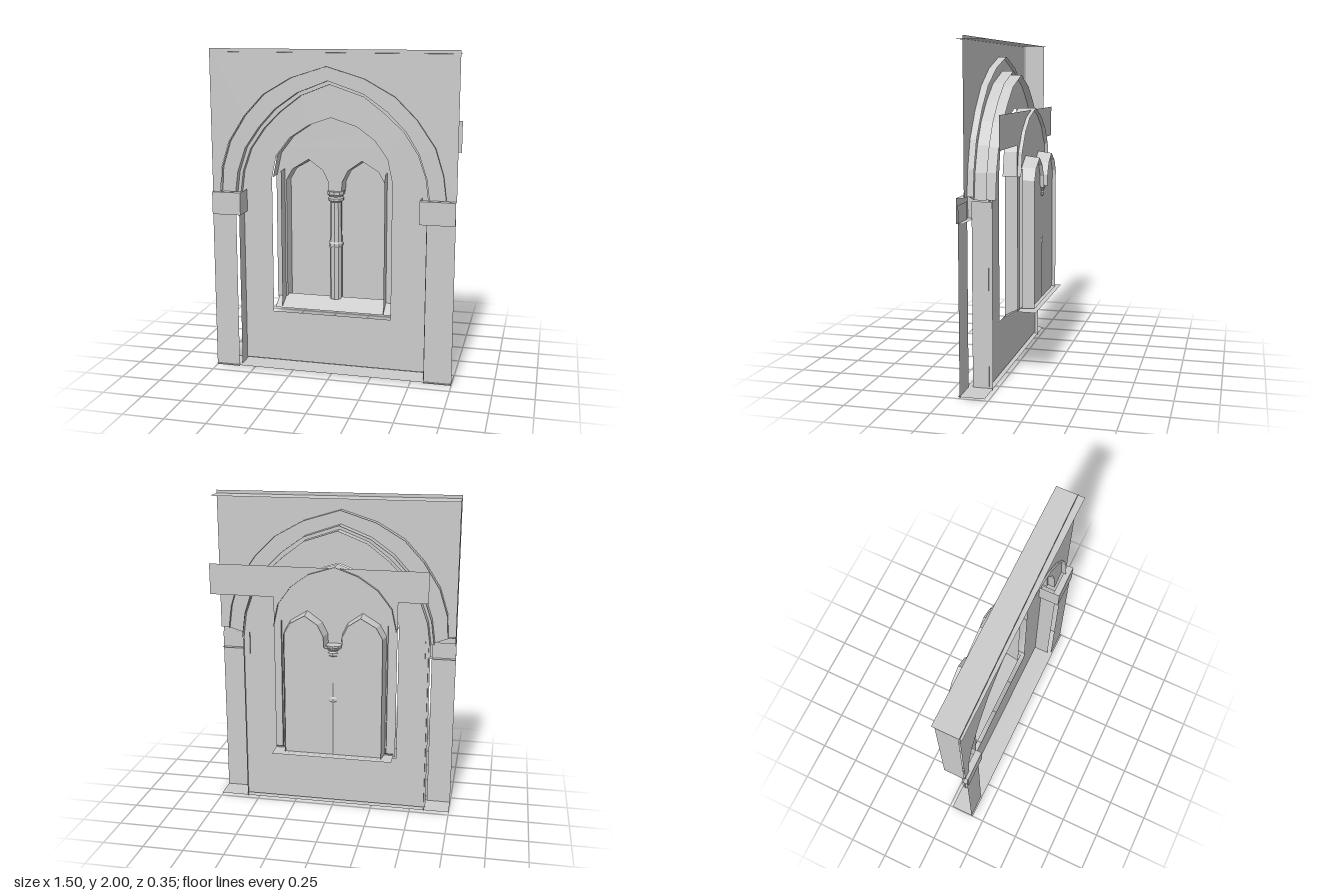
import * as THREE from 'three';

const material = new THREE.MeshStandardMaterial({ color: 0xcccccc, flatShading: true, side: THREE.DoubleSide });

export function createModel() {
  const root = new THREE.Group();

  function add(name, geometry) {
    const mesh = new THREE.Mesh(geometry, material);
    mesh.name = name;
    root.add(mesh);
    return mesh;
  }

  // Flat upright sheet from a 2D outline, with optional holes
  function sheet(name, outline, z, holes = []) {
    const toPoints = (list) => list.map(([x, y]) => new THREE.Vector2(x, y));
    const shape = new THREE.Shape(toPoints(outline));
    for (const hole of holes) shape.holes.push(new THREE.Path(toPoints(hole)));
    const mesh = add(name, new THREE.ShapeGeometry(shape));
    mesh.position.z = z;
    return mesh;
  }

  // Band joining outline a at depth za to outline b at depth zb
  function band(name, a, za, b, zb, closed = false) {
    const positions = [];
    const count = closed ? a.length : a.length - 1;
    for (let i = 0; i < count; i++) {
      const j = (i + 1) % a.length;
      const p = [...a[i], za], q = [...a[j], za], r = [...b[j], zb], s = [...b[i], zb];
      positions.push(...p, ...q, ...r, ...p, ...r, ...s);
    }
    const geometry = new THREE.BufferGeometry();
    geometry.setAttribute('position', new THREE.Float32BufferAttribute(positions, 3));
    geometry.computeVertexNormals();
    add(name, geometry);
  }

  const level = (name, x0, x1, y, z0, z1) => band(name, [[x0, y], [x1, y]], z0, [[x0, y], [x1, y]], z1);
  const side = (name, x, y0, y1, z0, z1) => band(name, [[x, y0], [x, y1]], z0, [[x, y0], [x, y1]], z1);
  const rect = (x0, x1, y0, y1) => [[x0, y0], [x1, y0], [x1, y1], [x0, y1]];

  // Pointed arches, listed from the -x springing over the apex to +x
  const outerArch = [[-0.7, 1.13], [-0.69, 1.28], [-0.64, 1.44], [-0.54, 1.6], [-0.42, 1.73], [-0.25, 1.83],
    [-0.03, 1.9], [0.2, 1.83], [0.38, 1.73], [0.51, 1.6], [0.62, 1.44], [0.67, 1.28], [0.69, 1.13]];
  const middleArch = [[-0.62, 1.1], [-0.6, 1.25], [-0.55, 1.4], [-0.46, 1.53], [-0.36, 1.64], [-0.22, 1.74],
    [-0.03, 1.815], [0.19, 1.74], [0.33, 1.64], [0.44, 1.53], [0.52, 1.4], [0.57, 1.25], [0.59, 1.1]];
  const innerArch = [[-0.6, 1.1], [-0.58, 1.25], [-0.53, 1.39], [-0.44, 1.52], [-0.34, 1.62], [-0.21, 1.72],
    [-0.03, 1.79], [0.18, 1.72], [0.31, 1.62], [0.42, 1.52], [0.505, 1.39], [0.555, 1.25], [0.575, 1.1]];
  const windowArch = [[-0.405, 1.21], [-0.375, 1.35], [-0.29, 1.46], [-0.17, 1.54],
    [-0.03, 1.59], [0.13, 1.54], [0.24, 1.46], [0.32, 1.35], [0.35, 1.21]];

  // Upper wall face, very slightly turned, with the big arch cut out of its lower edge
  const upperWall = sheet('upperWall',
    [[-0.75, 1.13], ...outerArch, [0.75, 1.13], [0.75, 2], [-0.75, 2]], 0.1435);
  upperWall.rotation.y = 0.018;
  side('upperWallEnd', -0.75, 1.1, 1.98, 0.02, 0.15);
  level('topSheet', -0.75, 0.75, 1.98, 0, 0.17);
  level('bottomSheet', -0.75, 0.75, 0.01, 0.02, 0.175);

  // Stepped arch mouldings
  band('outerArchReveal', outerArch, 0.15, outerArch, 0.095);
  band('outerArchFace', outerArch, 0.12, middleArch, 0.12);
  band('middleArchReveal', middleArch, 0.12, middleArch, 0.05);
  band('middleArchFace', middleArch, 0.075, innerArch, 0.075);
  band('innerArchReveal', innerArch, 0.075, innerArch, 0);

  // Recessed wall with the window opening, its arched soffit, inset jambs and sill
  sheet('recessedWall', [[-0.6, 0.02], ...innerArch, [0.58, 0.02]], 0.042,
    [[[-0.405, 0.345], ...windowArch, [0.35, 0.345]]]);
  band('windowSoffit', windowArch, 0.02, windowArch, -0.09);
  for (const x of [-0.355, 0.3]) band('windowJamb', [[x, 0.37], [x, 1.25]], 0.02, [[x, 0.43], [x, 1.25]], -0.09);
  band('slopingSill', [[-0.4, 0.365], [0.345, 0.365]], 0.02, [[-0.4, 0.43], [0.345, 0.43]], -0.09);
  level('sillLedge', -0.4, 0.35, 0.41, -0.067, -0.178);

  // Pilasters and their capitals on both sides
  for (const [name, outer, inner, returnX, capInner] of [
    ['right', -0.75, -0.6, -0.59, -0.57], ['left', 0.75, 0.58, 0.575, 0.535]]) {
    sheet(name + 'PilasterFront', rect(outer, inner, 0, 1.09), 0.165);
    side(name + 'PilasterReturn', returnX, 0, 1.09, 0.02, 0.14);
    sheet(name + 'CapitalFront', rect(outer, capInner, 0.99, 1.13), 0.175);
    side(name + 'CapitalReturn', capInner, 0.99, 1.13, 0.03, 0.175);
    for (const y of [0.99, 1.13]) level(name + 'CapitalEdge', outer, capInner, y, 0.135, 0.175);
  }

  // Twin-arched opening, drawn in by d on all sides
  function twinArch(d) {
    const half = [[0.315 - d, 0.415], [0.315 - d, 1.18], [0.275 - d, 1.25], [0.17, 1.315 - d],
      [0.08 + d, 1.25], [0.045 + d, 1.18], [0.04 + d, 1.11]];
    const mirrored = half.map(([x, y]) => [-x, y]).reverse();
    return [...half, ...mirrored].map(([x, y]) => [x - 0.03, y]);
  }
  const twinFront = twinArch(0);
  const twinBack = twinArch(0.012);
  const panel = [[-0.41, 0.405], [0.35, 0.405], [0.35, 1.39], [0.75, 1.39],
    [0.75, 1.58], [-0.59, 1.58], [-0.59, 1.39], [-0.41, 1.39]];
  sheet('traceryPanel', panel, -0.067, [twinFront]);
  band('twinArchReveal', twinFront, -0.067, twinBack, -0.153, true);
  sheet('windowPane', twinBack, -0.13);

  // Slender centre column with a mid ring and capital
  const profile = [[0.04, 0.42], [0.04, 0.76], [0.046, 0.77], [0.046, 0.785], [0.04, 0.795],
    [0.036, 1.05], [0.05, 1.06], [0.05, 1.075], [0.042, 1.085], [0.055, 1.1], [0.055, 1.12], [0, 1.12]];
  const column = add('centreColumn', new THREE.LatheGeometry(profile.map(([r, y]) => new THREE.Vector2(r, y)), 10));
  column.position.set(-0.03, 0, -0.092);

  return root;
}
